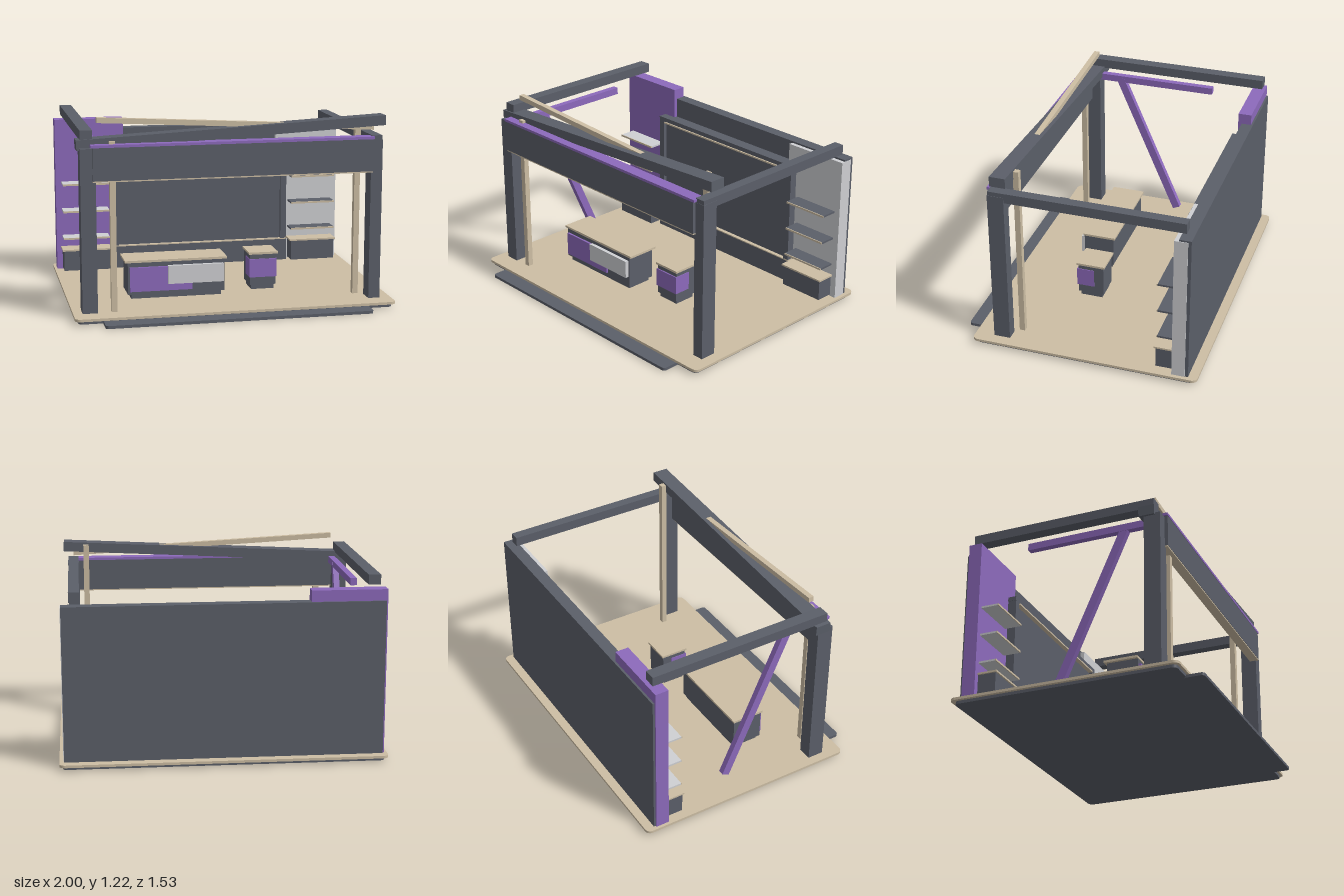
import * as THREE from 'three';

const mat = (name, color) => {
  const m = new THREE.MeshStandardMaterial({ color });
  m.name = name;
  return m;
};

export function createModel() {
  const root = new THREE.Group();
  root.name = 'exhibitionBooth';
  const dark = mat('slate', 0x5b5f69);
  const purple = mat('violet', 0x8d6abc);
  const tan = mat('sand', 0xcdbea4);
  const light = mat('paleGrey', 0xcfd0d3);

  // Box given by its extents
  const box = (name, m, x0, x1, y0, y1, z0, z1, parent = root) => {
    const mesh = new THREE.Mesh(new THREE.BoxGeometry(x1 - x0, y1 - y0, z1 - z0), m);
    mesh.position.set((x0 + x1) / 2, (y0 + y1) / 2, (z0 + z1) / 2);
    mesh.name = name;
    parent.add(mesh);
    return mesh;
  };

  // Flat slab with rounded corners
  const slab = (name, m, x0, x1, y0, y1, z0, z1, r) => {
    const s = new THREE.Shape();
    s.moveTo(x0 + r, -z1);
    s.lineTo(x1 - r, -z1);
    s.absarc(x1 - r, -z1 + r, r, -Math.PI / 2, 0);
    s.lineTo(x1, -z0 - r);
    s.absarc(x1 - r, -z0 - r, r, 0, Math.PI / 2);
    s.lineTo(x0 + r, -z0);
    s.absarc(x0 + r, -z0 - r, r, Math.PI / 2, Math.PI);
    s.lineTo(x0, -z1 + r);
    s.absarc(x0 + r, -z1 + r, r, Math.PI, Math.PI * 1.5);
    const g = new THREE.ExtrudeGeometry(s, { depth: y1 - y0, bevelEnabled: false, curveSegments: 5 });
    g.rotateX(-Math.PI / 2);
    const mesh = new THREE.Mesh(g, m);
    mesh.position.y = y0;
    mesh.name = name;
    root.add(mesh);
  };

  // Square bar between two points
  const bar = (name, m, a, b, w, h) => {
    const p = new THREE.Vector3(...a), q = new THREE.Vector3(...b);
    const mesh = new THREE.Mesh(new THREE.BoxGeometry(w, h, p.distanceTo(q)), m);
    mesh.position.copy(p).add(q).multiplyScalar(0.5);
    mesh.lookAt(q);
    mesh.name = name;
    root.add(mesh);
  };

  // Floor
  slab('floorBase', dark, -0.98, 0.98, 0.005, 0.024, -0.745, 0.655, 0.03);
  slab('floorDeck', tan, -1, 1, 0.024, 0.04, -0.768, 0.672, 0.035);
  slab('frontStep', dark, -0.83, 0.825, 0, 0.018, 0.64, 0.764, 0.02);

  // Back wall and side panels
  box('backWall', dark, -0.972, 0.972, 0.04, 0.993, -0.71, -0.635);
  box('violetPanel', purple, -0.982, -0.52, 0.04, 1.062, -0.697, -0.612);
  box('palePanel', light, 0.54, 0.976, 0.04, 0.982, -0.69, -0.607);

  // Framed display screen with lower plinth
  const screen = new THREE.Group();
  screen.name = 'displayScreen';
  root.add(screen);
  box('screenPanel', dark, -0.57, 0.57, 0.18, 0.84, -0.635, -0.58, screen);
  for (const s of [-1, 1])
    box('screenSide', dark, s * 0.5875 - 0.02, s * 0.5875 + 0.02, 0.04, 0.863, -0.635, -0.556, screen);
  box('screenTop', dark, -0.61, 0.61, 0.835, 0.863, -0.635, -0.556, screen);
  box('screenTrim', tan, -0.56, 0.56, 0.823, 0.833, -0.582, -0.55, screen);
  box('screenPlinth', dark, -0.61, 0.61, 0.04, 0.187, -0.635, -0.556, screen);
  box('plinthTrim', tan, -0.61, 0.61, 0.187, 0.194, -0.6, -0.554, screen);

  // Low cabinets and shelves on both sides
  for (const [side, x0, x1, top] of [['right', -0.945, -0.635, light], ['left', 0.63, 0.935, dark]]) {
    box(side + 'Cabinet', dark, x0, x1, 0.05, 0.185, -0.612, -0.495);
    box(side + 'CabinetTop', tan, x0 - 0.01, x1 + 0.01, 0.185, 0.196, -0.614, -0.485);
    for (const y of [0.268, 0.452, 0.636]) {
      box(side + 'Shelf', top, x0, x1, y - 0.006, y + 0.006, -0.612, -0.503);
      box(side + 'ShelfEdge', tan, x0, x1, y - 0.006, y + 0.006, -0.503, -0.497);
    }
  }

  // Posts and poles
  box('rightPost', dark, -0.943, -0.85, 0.04, 1.045, 0.448, 0.552);
  box('leftPost', dark, 0.855, 0.928, 0.04, 1.045, 0.448, 0.552);
  box('rightPole', tan, -0.766, -0.73, 0.04, 1.085, 0.508, 0.543);
  box('leftPole', tan, 0.79, 0.826, 0.04, 1.172, 0.388, 0.423);

  // Roof beams
  box('rightBeam', dark, -0.937, -0.862, 1.09, 1.15, -0.688, 0.51);
  box('leftBeam', dark, 0.86, 0.925, 1.01, 1.072, -0.668, 0.55);
  bar('tiltedBeam', dark, [-0.96, 1.062, 0.47], [0.955, 1.16, 0.47], 0.1, 0.062);
  bar('tiltedRail', tan, [-0.832, 1.204, 0.463], [0.892, 1.112, 0.463], 0.035, 0.032);

  // Front fascia
  box('fascia', dark, -0.87, 0.862, 0.852, 1.052, 0.505, 0.572);
  box('fasciaTrim', tan, -0.87, 0.862, 0.844, 0.852, 0.51, 0.57);
  box('fasciaCap', purple, -0.88, 0.87, 1.052, 1.068, 0.497, 0.575);

  // Violet rail and diagonal brace
  box('sideRail', purple, -0.858, -0.818, 1.02, 1.065, -0.355, 0.45);
  bar('brace', purple, [-0.836, 0.097, -0.125], [-0.836, 1.045, 0.291], 0.038, 0.052);

  // Counter
  const counter = new THREE.Group();
  counter.name = 'counter';
  root.add(counter);
  box('counterBase', dark, -0.605, -0.03, 0.04, 0.07, 0.095, 0.265, counter);
  box('counterBody', dark, -0.627, -0.01, 0.07, 0.274, 0.08, 0.28, counter);
  box('counterTop', tan, -0.645, 0.006, 0.274, 0.288, 0.066, 0.284, counter);
  box('counterVioletPanel', purple, -0.615, -0.22, 0.09, 0.245, 0.28, 0.294, counter);
  box('counterPalePanel', light, -0.375, -0.02, 0.133, 0.25, 0.28, 0.304, counter);

  // Pedestal
  const pedestal = new THREE.Group();
  pedestal.name = 'pedestal';
  root.add(pedestal);
  box('pedestalBase', dark, 0.185, 0.332, 0.04, 0.07, 0.043, 0.188, pedestal);
  box('pedestalBody', dark, 0.174, 0.343, 0.07, 0.272, 0.032, 0.2, pedestal);
  box('pedestalTop', tan, 0.165, 0.355, 0.272, 0.286, 0.022, 0.21, pedestal);
  box('pedestalBand', purple, 0.17, 0.348, 0.122, 0.241, 0.094, 0.208, pedestal);

  return root;
}
